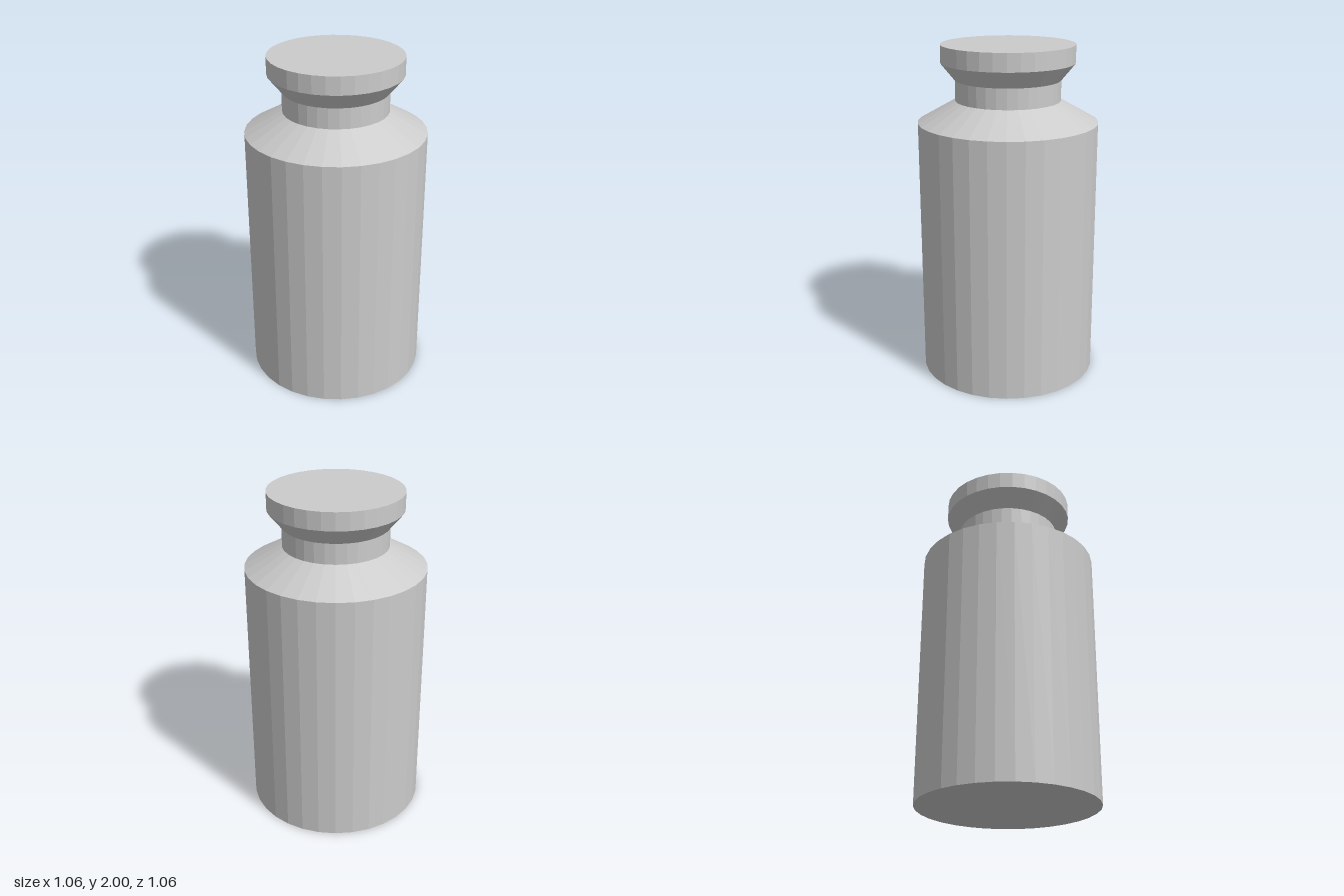
import * as THREE from 'three';

const SIDES = 32;

export function createModel() {
  const model = new THREE.Group();
  model.name = 'weight';
  const material = new THREE.MeshStandardMaterial({ color: 0xcccccc, flatShading: true });

  // Turned part from a [radius, height] profile, listed bottom to top
  const turned = (name, profile) => {
    const points = profile.map(([r, y]) => new THREE.Vector2(r, y));
    const mesh = new THREE.Mesh(new THREE.LatheGeometry(points, SIDES), material);
    mesh.name = name;
    model.add(mesh);
  };

  // Cylindrical body with closed base, sloping shoulder and neck
  turned('body', [[0, 0], [0.531, 0], [0.531, 1.55], [0.31, 1.675], [0.31, 1.795]]);

  // Flared knob with a flat top, continuing from the neck
  turned('knob', [[0.31, 1.795], [0.392, 1.895], [0.392, 2], [0, 2]]);

  return model;
}
